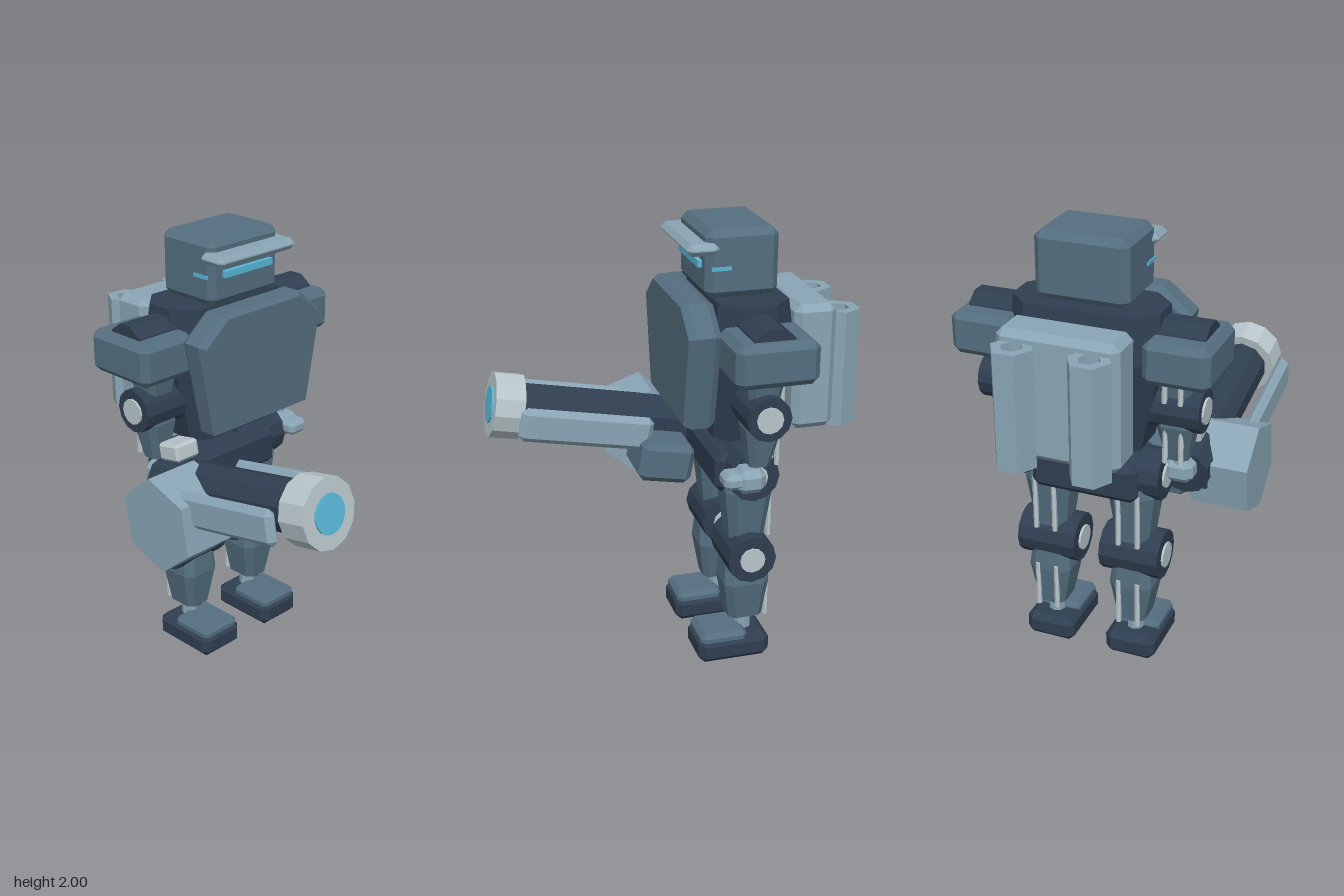
import * as THREE from 'three';
import { ConvexGeometry } from 'three/addons/geometries/ConvexGeometry.js';

export function createModel() {
  const mat = (name, color) => {
    const m = new THREE.MeshStandardMaterial({ color });
    m.name = name;
    return m;
  };
  const slate = mat('slate armour', 0x546e7f);
  const dark = mat('dark frame', 0x2f3e50);
  const light = mat('light steel', 0x8aa5b5);
  const pale = mat('pale metal', 0xb8c6cb);
  const cyan = mat('cyan glow', 0x5ab8d8);

  const model = new THREE.Group();
  model.name = 'robot';
  const body = new THREE.Group();
  body.name = 'body';
  body.position.x = 0.04;
  model.add(body);

  // Adds a faceted mesh
  const add = (parent, name, geo, material, x = 0, y = 0, z = 0) => {
    const g = geo.index ? geo.toNonIndexed() : geo;
    g.computeVertexNormals();
    const mesh = new THREE.Mesh(g, material);
    mesh.name = name;
    mesh.position.set(x, y, z);
    parent.add(mesh);
    return mesh;
  };

  // Box with every edge chamfered
  const chamferBox = (w, h, d, c = 0.03) => {
    const pts = [];
    for (const i of [-1, 1]) for (const j of [-1, 1]) for (const k of [-1, 1])
      for (const [a, b, e] of [[0, c, c], [c, 0, c], [c, c, 0]])
        pts.push(new THREE.Vector3(i * (w / 2 - a), j * (h / 2 - b), k * (d / 2 - e)));
    return new ConvexGeometry(pts);
  };

  // Convex loft through cut-corner rectangles: [y, halfX, halfZ, corner, zShift]
  const loft = (rings) => {
    const pts = [];
    for (const [y, hx, hz, c, dz = 0] of rings)
      for (const i of [-1, 1]) for (const k of [-1, 1]) {
        pts.push(new THREE.Vector3(i * (hx - c), y, k * hz + dz));
        pts.push(new THREE.Vector3(i * hx, y, k * (hz - c) + dz));
      }
    return new ConvexGeometry(pts);
  };

  const cylX = (r, len, n = 12) => new THREE.CylinderGeometry(r, r, len, n).rotateZ(Math.PI / 2);
  const cylY = (r, len, n = 8) => new THREE.CylinderGeometry(r, r, len, n);
  const cylZ = (r, len, n = 12) => new THREE.CylinderGeometry(r, r, len, n).rotateX(Math.PI / 2);
  const Z = -0.285; // depth of the limbs

  // Head with brow and eye slits
  add(body, 'head', chamferBox(0.414, 0.29, 0.32), slate, 0, 1.855, -0.255);
  add(body, 'brow', chamferBox(0.46, 0.05, 0.14, 0.022), light, 0, 1.925, -0.08);
  add(body, 'eyeSlit', new THREE.BoxGeometry(0.285, 0.03, 0.02), cyan, 0, 1.85, -0.085);
  for (const s of [-1, 1])
    add(body, 'sideEyeSlit', new THREE.BoxGeometry(0.008, 0.016, 0.085), cyan, s * 0.208, 1.84, -0.16);

  // Torso and chest plate
  add(body, 'torso', loft([
    [1.08, 0.25, 0.145, 0.06, -0.285],
    [1.5, 0.34, 0.178, 0.09, -0.297],
    [1.7, 0.325, 0.155, 0.09, -0.295],
  ]), dark);
  const outline = [[0.285, 1.17], [0.37, 1.6], [0.235, 1.71]];
  const platePts = [];
  for (const [z, k] of [[0.02, 0.94], [-0.01, 1], [-0.09, 1], [-0.12, 0.94]])
    for (const [x, y] of outline) for (const s of [-1, 1])
      platePts.push(new THREE.Vector3(s * x * k, 1.44 + (y - 1.44) * k, z));
  add(body, 'chestPlate', new ConvexGeometry(platePts), slate);

  // Backpack with two hexagonal thruster tubes
  add(body, 'backpack', chamferBox(0.535, 0.565, 0.19), light, 0, 1.385, -0.57);
  const hexagon = (C, r) => {
    const p = new C();
    for (let i = 0; i < 6; i++) {
      const a = i * Math.PI / 3;
      p[i ? 'lineTo' : 'moveTo'](r * Math.cos(a), r * Math.sin(a));
    }
    p.closePath();
    return p;
  };
  const tube = hexagon(THREE.Shape, 0.093);
  tube.holes.push(hexagon(THREE.Path, 0.048));
  for (const s of [-1, 1])
    add(body, 'thrusterTube',
      new THREE.ExtrudeGeometry(tube, { depth: 0.52, bevelEnabled: false }).rotateX(-Math.PI / 2),
      light, s * 0.165, 1.1, -0.705);

  // Pelvis
  add(body, 'pelvis', chamferBox(0.49, 0.18, 0.29), dark, 0, 0.92, -0.285);

  // Joint barrel with pale end caps
  const joint = (parent, name, r, len, x, y) => {
    add(parent, name, cylX(r, len), dark, x, y, Z);
    add(parent, name + 'Cap', cylX(0.058, len + 0.02), pale, x, y, Z);
  };
  const pistons = (parent, x, y, len, z, gap) => {
    for (const t of [-1, 1])
      add(parent, 'piston', cylY(0.012, len, 6), pale, x + t * gap, y, z);
  };

  for (const s of [-1, 1]) {
    // Arm
    const arm = new THREE.Group();
    arm.name = s > 0 ? 'leftArm' : 'rightArm';
    body.add(arm);
    const ax = s * 0.385;
    add(arm, 'shoulderPad', chamferBox(0.29, 0.19, 0.36), slate, s * 0.427, 1.525, -0.297);
    add(arm, 'shoulderJoint', cylX(0.108, 0.25, 10), dark, s * 0.4, 1.565, -0.29);
    add(arm, 'upperArm', loft([
      [1.27, 0.055, 0.055, 0.02, Z], [1.45, 0.09, 0.09, 0.03, Z],
    ]), slate, ax);
    joint(arm, 'elbow', 0.098, 0.235, ax, 1.27);
    add(arm, 'forearm', loft([
      [1.03, 0.05, 0.045, 0.02, -0.275], [1.2, 0.082, 0.08, 0.03, Z], [1.27, 0.07, 0.07, 0.03, Z],
    ]), slate, ax);
    pistons(arm, ax, 1.38, 0.13, -0.365, 0.035);
    pistons(arm, ax, 1.11, 0.16, -0.35, 0.035);
    add(arm, 'wrist', cylY(0.03, 0.08), light, ax, 1.02, -0.265);
    add(arm, 'hand', chamferBox(0.13, 0.11, 0.13), light, ax, 0.96, -0.24);
    add(arm, 'fingers', chamferBox(0.11, 0.07, 0.1, 0.02), light, ax, 0.965, -0.17);

    // Leg
    const leg = new THREE.Group();
    leg.name = s > 0 ? 'leftLeg' : 'rightLeg';
    body.add(leg);
    const lx = s * 0.197;
    joint(leg, 'hip', 0.114, 0.275, lx, 0.935);
    add(leg, 'thigh', loft([
      [0.56, 0.07, 0.075, 0.03, Z], [0.84, 0.107, 0.108, 0.04, Z], [0.94, 0.095, 0.095, 0.04, Z],
    ]), slate, lx);
    joint(leg, 'knee', 0.112, 0.275, lx, 0.53);
    add(leg, 'shin', loft([
      [0.195, 0.064, 0.08, 0.025, -0.29], [0.38, 0.1, 0.105, 0.035, Z], [0.5, 0.085, 0.095, 0.035, Z],
    ]), slate, lx);
    pistons(leg, lx, 0.73, 0.26, -0.388, 0.045);
    pistons(leg, lx, 0.3, 0.22, -0.385, 0.045);
    add(leg, 'ankle', cylY(0.039, 0.1), light, lx, 0.165, -0.29);
    add(leg, 'foot', chamferBox(0.235, 0.12, 0.335), dark, lx, 0.06, -0.223);
    add(leg, 'toeCap', chamferBox(0.21, 0.06, 0.22, 0.02), slate, lx, 0.115, -0.175);
  }

  // Shoulder-width cannon, tilted slightly upward
  const gun = new THREE.Group();
  gun.name = 'cannon';
  gun.position.set(-0.345, 0.965, 0);
  gun.rotation.x = -0.19;
  model.add(gun);
  add(gun, 'barrel', cylZ(0.115, 0.86, 10), dark, 0, 0, 0.21);
  add(gun, 'muzzle', cylZ(0.153, 0.135, 12), pale, 0, 0, 0.695);
  add(gun, 'lens', cylZ(0.086, 0.009, 16), cyan, 0, 0, 0.766);
  add(gun, 'receiver', chamferBox(0.23, 0.2, 0.3), dark, 0, -0.03, -0.04);
  add(gun, 'sight', chamferBox(0.13, 0.08, 0.125, 0.012), pale, 0, 0.16, -0.1);
  for (const s of [-1, 1])
    add(gun, 'sideRail', chamferBox(0.057, 0.16, 0.62, 0.026), light, s * 0.198, -0.012, 0.345);
  add(gun, 'powerBox', chamferBox(0.285, 0.19, 0.255), slate, 0.163, -0.117, -0.035);

  // Hexagonal ammunition drum
  const drum = add(model, 'ammoDrum', cylX(0.213, 0.26, 6), light, -0.49, 0.882, 0.02);
  drum.rotation.x = Math.PI / 9;
  // Keep one corner 20 degrees below the forward axis
  return model;
}
